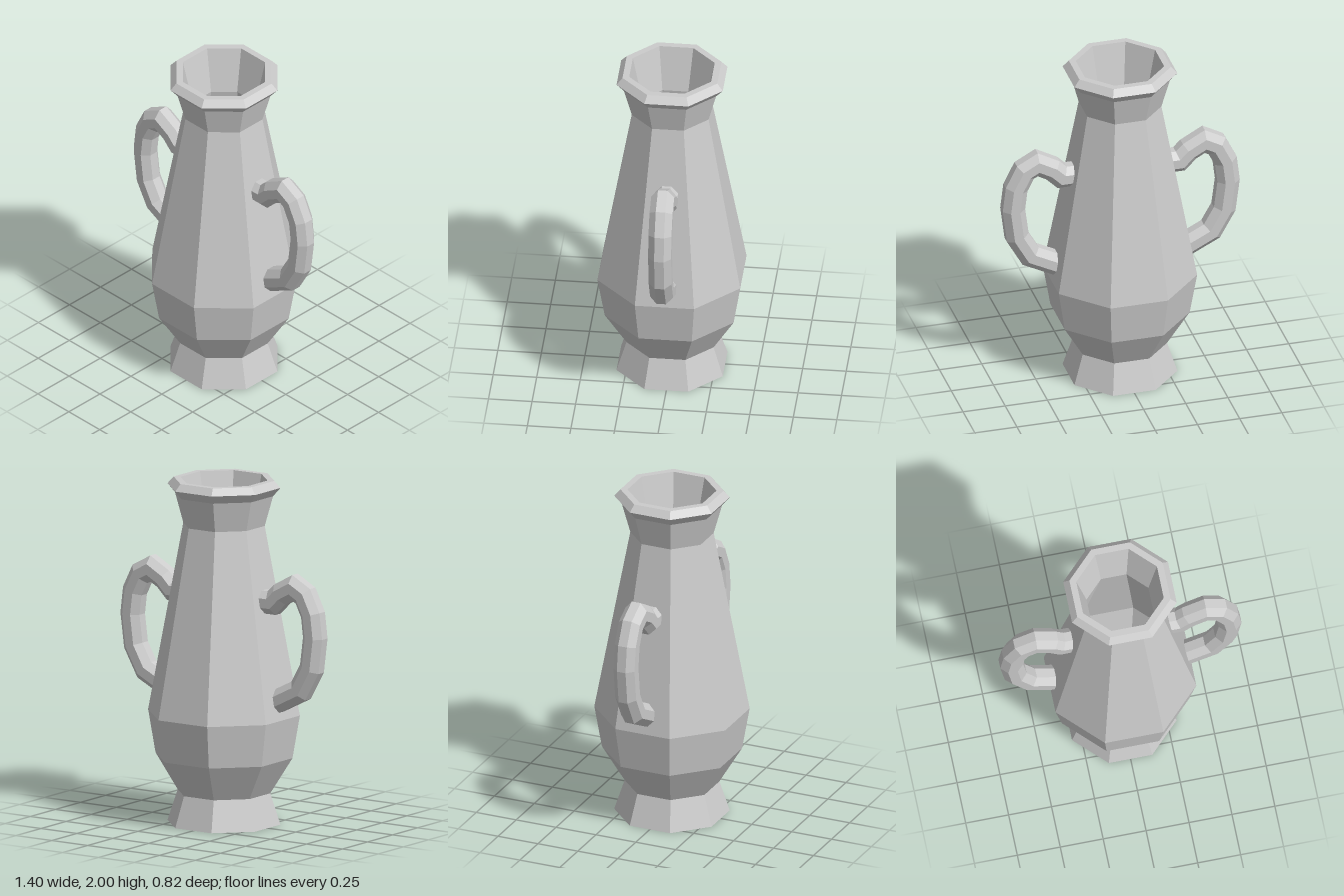
import * as THREE from 'three';

const SIDES = 8;
const TO_CORNER = 1 / Math.cos(Math.PI / SIDES); // flat distance -> corner radius

// Octagonal tube along a path in the xy plane, mitred at every bend
function tubeAlong(path, apothem) {
  const pts = path.map(([x, y]) => new THREE.Vector2(x, y));
  const r = apothem * TO_CORNER, pos = [], idx = [];
  pts.forEach((p, i) => {
    const a = pts[Math.max(i - 1, 0)], b = pts[Math.min(i + 1, pts.length - 1)];
    const d0 = (i ? p.clone().sub(a) : b.clone().sub(p)).normalize();
    const d1 = (i < pts.length - 1 ? b.clone().sub(p) : d0.clone()).normalize();
    const t = d0.clone().add(d1).normalize();
    const mitre = 1 / t.dot(d0);
    for (let j = 0; j < SIDES; j++) {
      const ang = ((j + 0.5) / SIDES) * Math.PI * 2;
      const u = Math.cos(ang) * r * mitre;
      pos.push(p.x - t.y * u, p.y + t.x * u, Math.sin(ang) * r);
    }
  });
  for (let i = 0; i < pts.length - 1; i++) {
    for (let j = 0; j < SIDES; j++) {
      const k = (j + 1) % SIDES, a = i * SIDES, b = a + SIDES;
      idx.push(a + j, a + k, b + k, a + j, b + k, b + j);
    }
  }
  const geo = new THREE.BufferGeometry();
  geo.setAttribute('position', new THREE.Float32BufferAttribute(pos, 3));
  geo.setIndex(idx);
  geo.computeVertexNormals();
  return geo;
}

export function createModel() {
  const group = new THREE.Group();
  const material = new THREE.MeshStandardMaterial({
    color: 0xcccccc, flatShading: true, side: THREE.DoubleSide,
  });

  // Vase wall: base, outside up to the lip, then inside down to the floor
  const profile = [
    [0, 0], [0.305, 0], [0.25, 0.18], [0.37, 0.39], [0.41, 0.64],
    [0.22, 1.735], [0.265, 1.91], [0.305, 1.96], [0.272, 2],
    [0.235, 2], [0.18, 1.735], [0.365, 0.64], [0.33, 0.41], [0.21, 0.2], [0, 0.2],
  ].map(([x, y]) => new THREE.Vector2(x * TO_CORNER, y));
  const body = new THREE.Mesh(
    new THREE.LatheGeometry(profile, SIDES, Math.PI / SIDES), material);
  body.name = 'vaseBody';
  group.add(body);

  // Two looped handles, ends set into the wall
  const handleGeo = tubeAlong([
    [0.27, 1.32], [0.35, 1.32], [0.405, 1.375], [0.495, 1.425], [0.568, 1.385],
    [0.62, 1.28], [0.636, 1.146], [0.613, 0.965], [0.537, 0.83], [0.36, 0.74],
  ], 0.066);
  ['leftHandle', 'rightHandle'].forEach((name, i) => {
    const handle = new THREE.Mesh(handleGeo, material);
    handle.name = name;
    handle.rotation.y = i * Math.PI;
    group.add(handle);
  });

  return group;
}
